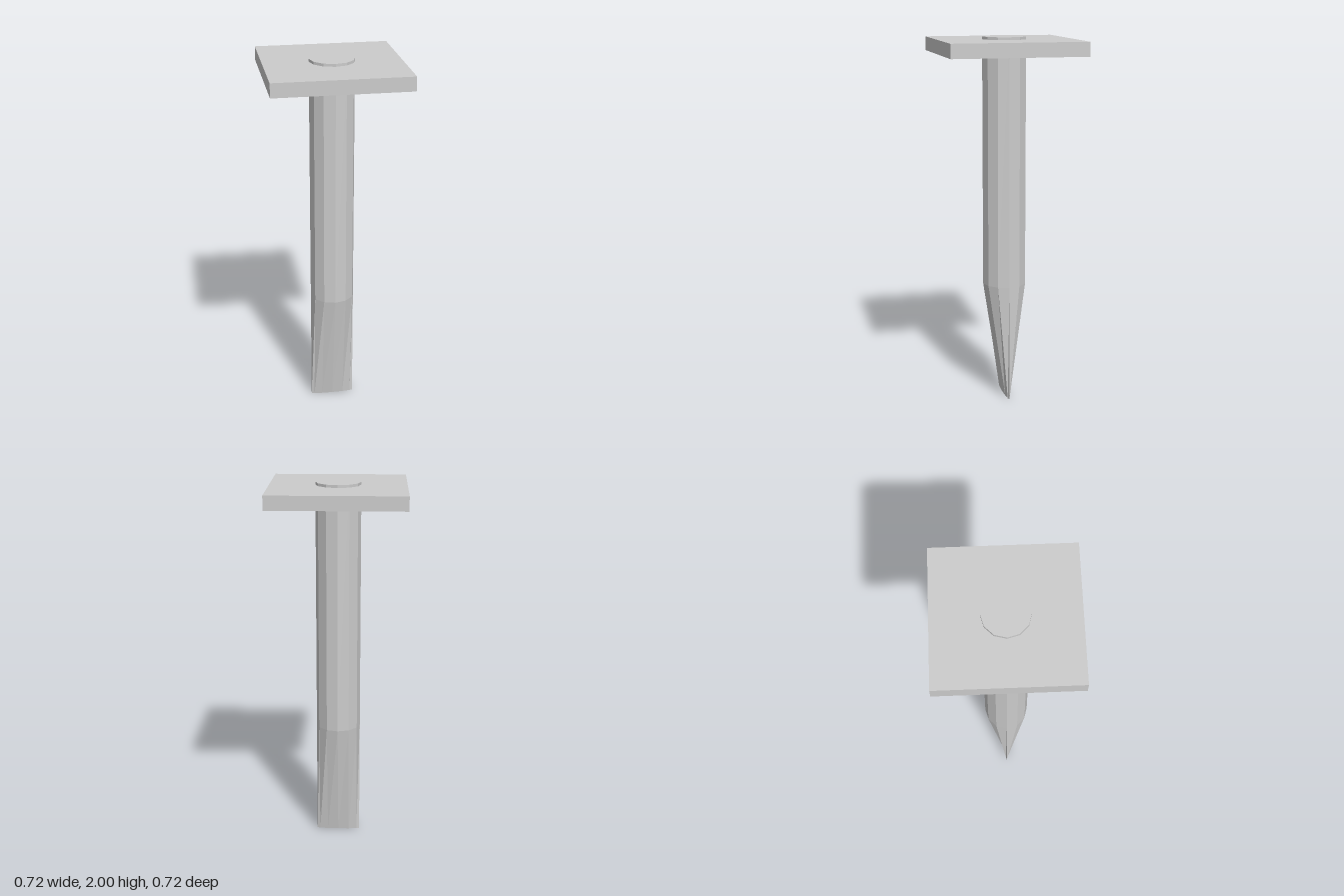
import * as THREE from 'three';

const SHAFT_RADIUS = 0.12;
const TAPER_START = 0.65;
const TIP_THICKNESS = 0.085; // share of the shaft depth left at the cutting edge

export function createModel() {
  const group = new THREE.Group();
  group.name = 'chisel';
  const material = new THREE.MeshStandardMaterial({ color: 0xcccccc, flatShading: true });

  // Twelve-sided shaft whose lower rows are pinched in z to a blade
  const shaftGeometry = new THREE.CylinderGeometry(SHAFT_RADIUS, SHAFT_RADIUS, 2, 12, 2);
  shaftGeometry.translate(0, 1, 0);
  const position = shaftGeometry.attributes.position;
  for (let i = 0; i < position.count; i++) {
    const y = position.getY(i);
    if (y < 0.5) position.setZ(i, position.getZ(i) * TIP_THICKNESS);
    else if (y < 1.5) position.setY(i, TAPER_START);
  }
  shaftGeometry.computeVertexNormals();
  const shaft = new THREE.Mesh(shaftGeometry, material);
  shaft.name = 'shaft';
  group.add(shaft);

  // Square guard plate just below the top of the shaft
  const plate = new THREE.Mesh(new THREE.BoxGeometry(0.72, 0.075, 0.72), material);
  plate.name = 'guardPlate';
  plate.position.y = 1.948;
  group.add(plate);

  return group;
}
